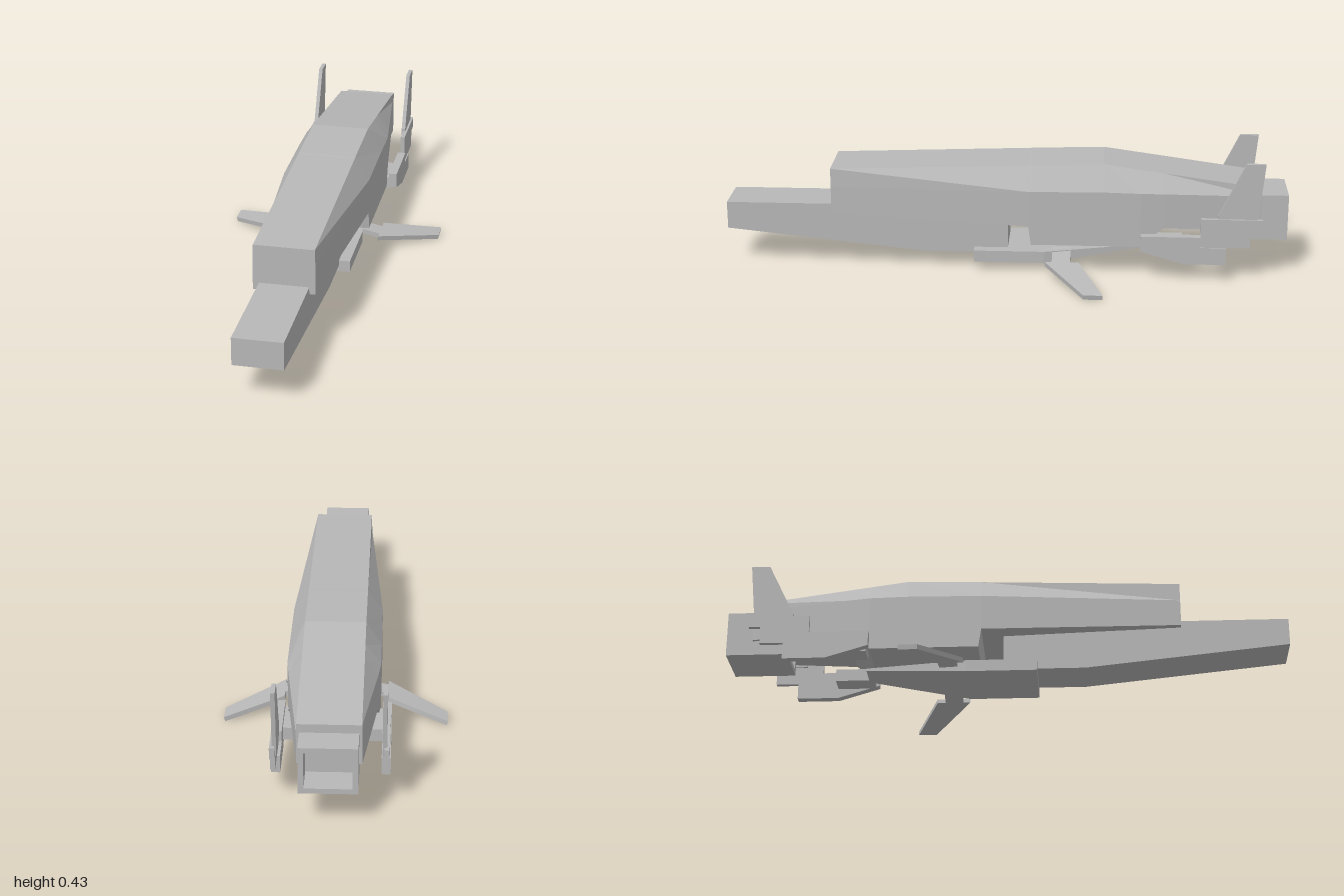
import * as THREE from 'three';

const hullGrey = new THREE.MeshStandardMaterial({ color: 0xb8b8b8, flatShading: true });
hullGrey.name = 'hull grey';

function addMesh(parent, name, geometry) {
  const mesh = new THREE.Mesh(geometry, hullGrey);
  mesh.name = name;
  parent.add(mesh);
  return mesh;
}

function box(parent, name, x0, x1, y0, y1, z0, z1) {
  const g = new THREE.BoxGeometry(Math.abs(x1 - x0), y1 - y0, Math.abs(z1 - z0));
  addMesh(parent, name, g).position.set((x0 + x1) / 2, (y0 + y1) / 2, (z0 + z1) / 2);
}

// Joins counter-clockwise cross-sections, listed from front to back, and caps both ends
function loft(sections) {
  const n = sections[0].points.length;
  const pos = sections.flatMap(s => s.points.flatMap(([x, y]) => [x, y, s.z]));
  const index = [];
  for (let s = 0; s < sections.length - 1; s++) {
    for (let i = 0; i < n; i++) {
      const a = s * n + i, b = s * n + (i + 1) % n;
      index.push(a, a + n, b, b, a + n, b + n);
    }
  }
  const last = (sections.length - 1) * n;
  for (let i = 1; i < n - 1; i++) {
    index.push(0, i, i + 1, last, last + i + 1, last + i);
  }
  const g = new THREE.BufferGeometry();
  g.setAttribute('position', new THREE.Float32BufferAttribute(pos, 3));
  g.setIndex(index);
  const flat = g.toNonIndexed();
  flat.computeVertexNormals();
  return flat;
}

// Side outline of [z, y] points, given a thickness along x
function sidePlate(points, x, thickness) {
  const shape = new THREE.Shape(points.map(p => new THREE.Vector2(...p)));
  const g = new THREE.ExtrudeGeometry(shape, { depth: thickness, bevelEnabled: false });
  g.translate(0, 0, -thickness / 2);
  g.rotateY(-Math.PI / 2);
  g.translate(x, 0, 0);
  return g;
}

function rectangle(w, y0, y1) {
  return [[-w, y0], [w, y0], [w, y1], [-w, y1]];
}

export function createModel() {
  const model = new THREE.Group();
  model.name = 'spacecraft';

  // Main hull: z, side half-width, bottom, shoulder and roof heights
  const stations = [
    [0.62, 0.106, 0.203, 0.3, 0.366],
    [-0.085, 0.157, 0.181, 0.31, 0.391],
    [-0.095, 0.157, 0.113, 0.31, 0.392],
    [-0.35, 0.157, 0.113, 0.313, 0.399],
    [-0.48, 0.157, 0.113, 0.31, 0.381],
    [-0.56, 0.148, 0.18, 0.307, 0.37],
    [-0.905, 0.105, 0.18, 0.29, 0.322],
  ];
  addMesh(model, 'mainHull', loft(stations.map(([z, w, bottom, shoulder, roof]) => ({
    z,
    points: [[-w, bottom], [w, bottom], [w, shoulder], [0.104, roof], [-0.104, roof], [-w, shoulder]],
  }))));

  // Long lower nose with a rising chin
  addMesh(model, 'lowerNose', sidePlate(
    [[1, 0.13], [1, 0.228], [-0.01, 0.228], [-0.01, 0.055], [0.28, 0.055]], 0, 0.17));

  // Belly plate, tapering upward at the back
  addMesh(model, 'bellyPlate', loft([
    { z: 0.11, points: rectangle(0.125, 0.033, 0.075) },
    { z: -0.14, points: rectangle(0.125, 0.033, 0.075) },
    { z: -0.5, points: rectangle(0.05, 0.074, 0.084) },
  ]));

  // Open square engine nozzle
  const rim = new THREE.Shape(rectangle(0.095, 0.127, 0.292).map(p => new THREE.Vector2(...p)));
  rim.holes.push(new THREE.Path(rectangle(0.077, 0.145, 0.274).map(p => new THREE.Vector2(...p))));
  const nozzle = new THREE.ExtrudeGeometry(rim, { depth: 0.22, bevelEnabled: false });
  addMesh(model, 'engineNozzle', nozzle).position.z = -1;
  box(model, 'engineBulkhead', -0.09, 0.09, 0.13, 0.29, -0.9, -0.79);

  for (const side of [1, -1]) {
    const label = side > 0 ? 'left' : 'right';
    const assembly = new THREE.Group();
    assembly.name = label + 'SideAssembly';
    model.add(assembly);

    // Drooping swept winglet on a narrow neck
    const outline = [[0.08, -0.17], [0.185, -0.17], [0.185, -0.145], [0.396, -0.285],
      [0.396, -0.352], [0.185, -0.265], [0.185, -0.235], [0.08, -0.235]];
    const plan = new THREE.Shape(outline.map(([x, z]) => new THREE.Vector2(side * x, -z)));
    const wing = new THREE.ExtrudeGeometry(plan, { depth: 0.017, bevelEnabled: false });
    wing.rotateX(-Math.PI / 2);
    wing.translate(0, -0.0085, 0);
    wing.rotateZ(-side * 0.195);
    addMesh(assembly, label + 'Winglet', wing).position.y = 0.0865;

    // Side pod and the bracket holding it
    addMesh(assembly, label + 'Pod', sidePlate(
      [[-0.48, 0.165], [-0.69, 0.165], [-0.69, 0.127], [-0.78, 0.127], [-0.78, 0.065],
        [-0.63, 0.065], [-0.48, 0.11]], side * 0.18, 0.03));
    box(assembly, label + 'PodBracket', side * 0.09, side * 0.168, 0.1, 0.145, -0.63, -0.49);

    // Fin mount and upright swept fin
    addMesh(assembly, label + 'FinMount', sidePlate(
      [[-0.69, 0.231], [-0.905, 0.231], [-0.905, 0.19], [-0.863, 0.19], [-0.863, 0.127], [-0.69, 0.127]],
      side * 0.183, 0.016));
    addMesh(assembly, label + 'Fin', sidePlate(
      [[-0.75, 0.242], [-0.842, 0.432], [-0.908, 0.432], [-0.885, 0.193], [-0.75, 0.193]],
      side * 0.176, 0.014));
  }
  return model;
}
